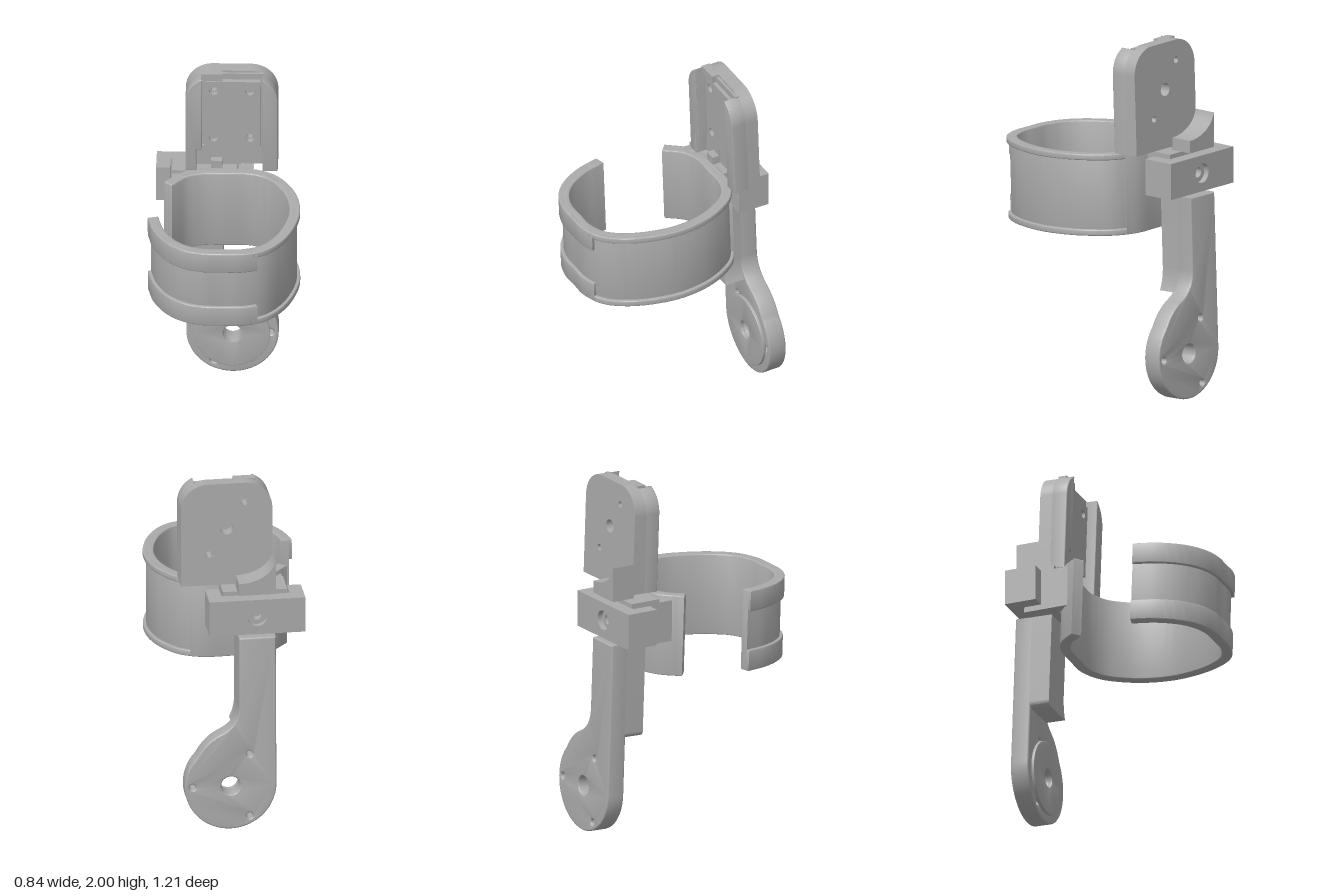
import * as THREE from 'three';
import { toCreasedNormals } from 'three/addons/utils/BufferGeometryUtils.js';

const TILT = 0.035;

export function createModel() {
  const grey = new THREE.MeshStandardMaterial({ color: 0xababab });
  grey.name = 'grey plastic';

  const model = new THREE.Group();
  model.name = 'clampedCuffBracket';
  const tilted = new THREE.Group();
  tilted.name = 'tiltedParts';
  tilted.rotation.x = TILT;
  model.add(tilted);

  function add(parent, name, geometry) {
    const mesh = new THREE.Mesh(geometry, grey);
    mesh.name = name;
    parent.add(mesh);
    return mesh;
  }
  function box(parent, name, x0, x1, y0, y1, z0, z1) {
    const g = new THREE.BoxGeometry(x1 - x0, y1 - y0, z1 - z0);
    g.translate((x0 + x1) / 2, (y0 + y1) / 2, (z0 + z1) / 2);
    return add(parent, name, g);
  }
  // Extrude a shape along z between two depths, with an optional rounded edge
  function slab(shape, z0, z1, bevel = 0) {
    const g = new THREE.ExtrudeGeometry(shape, {
      depth: z1 - z0 - 2 * bevel, curveSegments: 32, bevelEnabled: bevel > 0,
      bevelSize: bevel, bevelThickness: bevel, bevelOffset: -bevel, bevelSegments: 3,
    });
    g.translate(0, 0, z0 + bevel);
    return toCreasedNormals(g, 0.6);
  }
  function hole(shape, x, y, r) {
    shape.holes.push(new THREE.Path().absarc(x, y, r, 0, Math.PI * 2, true));
    return shape;
  }
  function rect(x0, x1, y0, y1) {
    return new THREE.Shape([[x0, y0], [x1, y0], [x1, y1], [x0, y1]].map(p => new THREE.Vector2(...p)));
  }

  // ---- Cuff: an open band following this outer outline (x, z) ----
  const cuff = new THREE.Group();
  cuff.name = 'cuff';
  tilted.add(cuff);
  const outline = new THREE.CatmullRomCurve3([
    [-0.42, 0.22], [-0.385, 0.36], [-0.31, 0.49], [-0.22, 0.565], [-0.11, 0.602], [0, 0.604],
    [0.115, 0.602], [0.245, 0.55], [0.34, 0.43], [0.4, 0.27], [0.42, 0.13], [0.4, -0.03],
    [0.345, -0.16], [0.27, -0.255], [0.15, -0.312], [0, -0.315], [-0.14, -0.31], [-0.25, -0.265], [-0.34, -0.165],
  ].map(([x, z]) => new THREE.Vector3(x, 0, z - 0.047)), false, 'centripetal');

  function band(name, u0, u1, in0, in1, y0, y1, bevel) {
    const n = Math.ceil(90 * (u1 - u0)) + 2;
    const outer = [], inner = [];
    for (let i = 0; i <= n; i++) {
      const u = u0 + (u1 - u0) * i / n;
      const p = outline.getPointAt(u), t = outline.getTangentAt(u);
      outer.push(new THREE.Vector2(p.x + t.z * in0, p.z - t.x * in0));
      inner.unshift(new THREE.Vector2(p.x + t.z * in1, p.z - t.x * in1));
    }
    const g = slab(new THREE.Shape([...outer, ...inner]), 0, y1 - y0, bevel);
    g.rotateX(Math.PI / 2);
    g.translate(0, y1, 0);
    add(cuff, name, g);
  }
  const Y0 = 0.92, Y1 = 1.383, STEP = 0.34, PANEL = 0.75;
  band('cuffWall', 0, 1, 0.018, 0.06, Y0, Y1, 0.006);
  band('cuffBackEnd', PANEL, 1, 0, 0.03, Y0, Y1, 0.006);
  // tall rims on the front, slim rims round the side
  band('topFrontRim', 0, STEP, 0, 0.03, Y1 - 0.12, Y1, 0.006);
  band('bottomFrontRim', 0, STEP, 0, 0.03, Y0, Y0 + 0.12, 0.006);
  band('topSideRim', STEP - 0.01, PANEL + 0.01, 0, 0.03, Y1 - 0.035, Y1, 0.006);
  band('bottomSideRim', STEP - 0.01, PANEL + 0.01, 0, 0.03, Y0, Y0 + 0.035, 0.006);

  // ---- Upper housing: floor with two raised side walls ----
  const L = -0.225, R = 0.285, B = 1.393, T = 1.99, CR = 0.15;
  const floor = new THREE.Shape();
  floor.moveTo(L, B);
  floor.lineTo(R, B);
  floor.lineTo(R, T - CR);
  floor.absarc(R - CR, T - CR, CR, 0, Math.PI / 2, false);
  floor.lineTo(L + CR, T);
  floor.absarc(L + CR, T - CR, CR, Math.PI / 2, Math.PI, false);
  floor.closePath();
  hole(floor, 0.03, 1.725, 0.037);
  hole(floor, -0.07, 1.875, 0.018);
  hole(floor, 0.13, 1.575, 0.018);
  add(tilted, 'housingFloor', slab(floor, -0.478, -0.4));

  const a = Math.acos(0.065 / CR);
  const rightWall = new THREE.Shape();
  rightWall.moveTo(0.2, B);
  rightWall.lineTo(R, B);
  rightWall.lineTo(R, T - CR);
  rightWall.absarc(R - CR, T - CR, CR, 0, a, false);
  rightWall.closePath();
  add(tilted, 'housingLeftWall', slab(rightWall, -0.41, -0.317, 0.005));
  const leftWall = new THREE.Shape();
  leftWall.moveTo(-0.135, B + 0.13);
  leftWall.lineTo(-0.135, T - 0.01);
  leftWall.absarc(L + CR, T - CR, CR, Math.PI - Math.acos(0.06 / CR), Math.PI, false);
  leftWall.lineTo(L, B);
  leftWall.lineTo(-0.165, B);
  leftWall.lineTo(-0.165, B + 0.13);
  leftWall.closePath();
  add(tilted, 'housingRightWall', slab(leftWall, -0.41, -0.317, 0.005));
  box(tilted, 'housingTopLip', -0.14, -0.02, 1.945, T - 0.001, -0.41, -0.36);
  box(tilted, 'housingTopLedge', -0.03, 0.205, 1.945, 1.98, -0.41, -0.385);

  const cover = rect(-0.12, 0.19, 1.515, 1.935);
  for (const x of [-0.07, 0.13]) for (const y of [1.575, 1.875]) hole(cover, x, y, 0.025);
  add(tilted, 'housingCoverPlate', slab(cover, -0.402, -0.37));
  box(tilted, 'housingCableBlock', -0.165, -0.02, B, 1.515, -0.41, -0.385);
  box(tilted, 'housingCableClip', -0.085, -0.02, B, 1.44, -0.39, -0.345);
  box(tilted, 'housingCableStep', -0.02, 0.08, B, 1.515, -0.41, -0.392);

  // ---- Lower arm: round end plate blending into a thick stem ----
  const CX = 0.03, CY = 0.244, RAD = 0.255;
  const plate = new THREE.Shape();
  plate.moveTo(L, 1.114);
  plate.lineTo(L, CY);
  plate.absarc(CX, CY, RAD, Math.PI, Math.PI * 2 + 0.75, false);
  plate.bezierCurveTo(0.17, 0.5, 0.12, 0.53, 0.08, 0.55);
  plate.bezierCurveTo(0.02, 0.58, -0.02, 0.63, -0.02, 0.71);
  plate.lineTo(-0.02, 1.114);
  plate.closePath();
  hole(plate, CX, CY, 0.053);
  for (let i = 0; i < 3; i++) {
    const t = i * Math.PI * 2 / 3;
    hole(plate, CX + 0.212 * Math.cos(t), CY + 0.212 * Math.sin(t), 0.018);
  }
  add(tilted, 'armPlate', slab(plate, -0.6, -0.495, 0.008));

  const stem = new THREE.Shape();
  stem.moveTo(L, 1.114);
  stem.lineTo(L, 0.6);
  stem.quadraticCurveTo(L, 0.567, -0.18, 0.567);
  stem.lineTo(0.01, 0.572);
  stem.quadraticCurveTo(-0.02, 0.63, -0.02, 0.71);
  stem.lineTo(-0.02, 1.114);
  stem.closePath();
  add(tilted, 'armStem', slab(stem, -0.585, -0.383));

  const disc = new THREE.Shape().absarc(CX, CY, 0.208, 0, Math.PI * 2, false);
  add(tilted, 'armDisc', slab(hole(disc, CX, CY, 0.053), -0.5, -0.479, 0.003));

  // ---- Clamp bracket behind the cuff, with its bolt recess ----
  const clamp = new THREE.Group();
  clamp.name = 'clamp';
  model.add(clamp);
  add(clamp, 'clampBackPlate', slab(hole(rect(-0.39, 0.145, 1.155, 1.36), -0.122, 1.258, 0.055), -0.557, -0.475));
  box(clamp, 'clampRightLeg', -0.39, -0.312, 1.155, 1.36, -0.476, -0.372);
  box(clamp, 'clampLeftLeg', 0.067, 0.145, 1.155, 1.36, -0.476, -0.372);
  const washer = new THREE.Shape().absarc(-0.122, 1.258, 0.056, 0, Math.PI * 2, false);
  add(clamp, 'clampBoltSeat', slab(hole(washer, -0.122, 1.258, 0.03), -0.525, -0.48));
  box(model, 'cuffMount', -0.3, 0.06, 1.13, 1.385, -0.48, -0.3);
  box(model, 'cuffMountSide', -0.3, -0.24, 1.13, 1.365, -0.47, -0.22);

  // ---- Upper lug on the back of the housing, with a concave top ----
  const lug = new THREE.Shape();
  lug.moveTo(L, 1.39);
  lug.lineTo(-0.02, 1.39);
  lug.lineTo(-0.02, 1.46);
  lug.bezierCurveTo(-0.11, 1.46, -0.2, 1.5, L, 1.585);
  lug.closePath();
  add(model, 'housingLug', slab(lug, -0.555, -0.42));

  return model;
}
